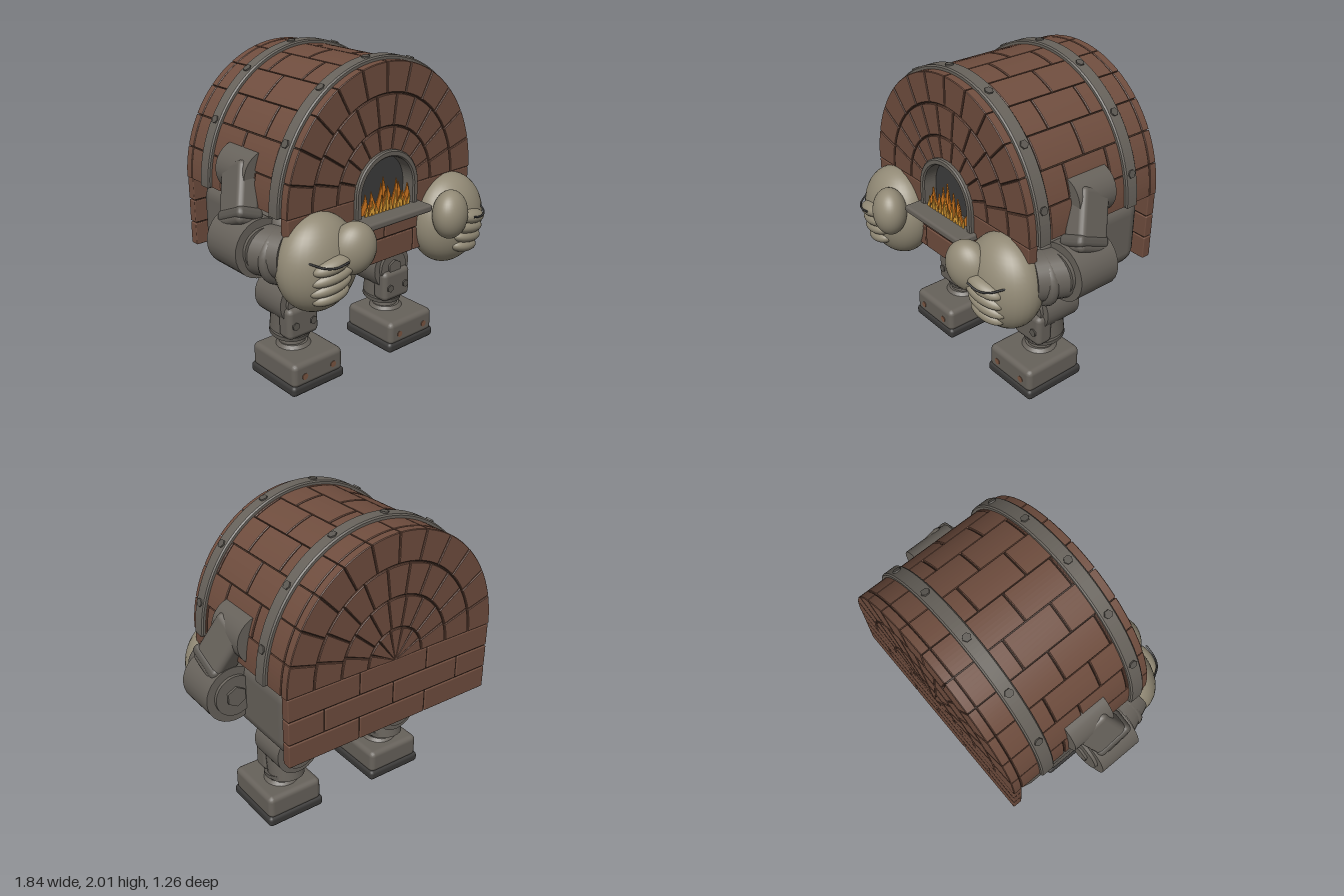
import * as THREE from 'three';
import { RoundedBoxGeometry } from 'three/addons/geometries/RoundedBoxGeometry.js';
import { mergeGeometries } from 'three/addons/utils/BufferGeometryUtils.js';

const mat = (name, color) => Object.assign(new THREE.MeshStandardMaterial({ color }), { name });

export function createModel() {
  const brick = mat('brick', 0x6f4d3e), mortar = mat('mortar', 0x3d2c23), iron = mat('iron', 0x67625b);
  const darkIron = mat('dark iron', 0x5c5852), glove = mat('glove', 0x928a76), rubber = mat('rubber', 0x3a3938);
  const soot = mat('soot', 0x3c3c3c), flameOuter = mat('flame orange', 0xd67a20), flameInner = mat('flame yellow', 0xeaa83a);
  const copper = mat('copper', 0x7c5743);
  const model = new THREE.Group();

  const add = (parent, name, geo, material, pos = [0, 0, 0], rot = [0, 0, 0]) => {
    const m = new THREE.Mesh(geo, material);
    m.name = name;
    m.position.set(...pos);
    m.rotation.set(...rot);
    parent.add(m);
    return m;
  };
  const group = (parent, name) => {
    const g = new THREE.Group();
    g.name = name;
    parent.add(g);
    return g;
  };
  const extrude = (shape, z0, z1, bevel = 0, curveSegments = 4) => new THREE.ExtrudeGeometry(shape, {
    depth: z1 - z0 - 2 * bevel, bevelEnabled: bevel > 0, bevelSize: bevel, bevelThickness: bevel,
    bevelOffset: -bevel, bevelSegments: 1, curveSegments,
  }).translate(0, 0, z0 + bevel);
  const box = (w, h, d, r = 0.03) => new RoundedBoxGeometry(w, h, d, 2, r);
  const rod = (r, h, sides = 28, r2 = r) => new THREE.CylinderGeometry(r, r2, h, sides);
  const drum = (r, h, sides = 28) => rod(r, h, sides).rotateX(Math.PI / 2);

  // Arched masonry: wedge bricks between two radii, around the vault centre
  const arcShape = (r0, r1, a0, a1) => {
    const s = new THREE.Shape();
    s.absarc(0, 0, r1, a0, a1, false);
    if (r0 > 0.01) s.absarc(0, 0, r0, a1, a0, true);
    else s.lineTo(0, 0);
    return s;
  };
  const GAP = 0.0035;
  const wedge = (r0, r1, i, n, z0, z1) => {
    const step = Math.PI / n, pad = GAP / r1;
    return extrude(arcShape(r0 + (r0 ? GAP : 0), r1 - GAP, i * step + pad, (i + 1) * step - pad), z0, z1, 0.004, 4);
  };
  const ring = (r0, r1, n, z0, z1) => Array.from({ length: n }, (_, i) => wedge(r0, r1, i, n, z0, z1));

  const vault = group(model, 'vault');
  vault.position.y = 1.215;
  vault.scale.x = 0.947;
  const R = 0.765, Z0 = -0.575, Z1 = 0.365, COURSES = 12;
  const barrel = [];
  for (let i = 0; i < COURSES; i++) {
    const cuts = i % 2 ? [Z0, -0.26, 0.055, Z1] : [Z0, -0.42, -0.105, 0.21, Z1];
    for (let k = 0; k + 1 < cuts.length; k++)
      barrel.push(wedge(0.58, R, i, COURSES, cuts[k] + GAP, cuts[k + 1] - (cuts[k + 1] === Z1 ? 0 : GAP)));
  }
  add(vault, 'barrelBricks', mergeGeometries(barrel), brick);
  add(vault, 'frontArchBricks', mergeGeometries([...ring(0.39, 0.58, 11, 0.3, Z1), ...ring(0.225, 0.39, 9, 0.3, Z1)]), brick);
  add(vault, 'backFanBricks', mergeGeometries([
    ...ring(0, 0.2, 7, -0.63, Z0), ...ring(0.2, 0.39, 9, -0.63, Z0),
    ...ring(0.39, 0.58, 11, -0.63, Z0), ...ring(0.58, R, COURSES, -0.63, Z0)]), brick);
  add(vault, 'vaultMortar', extrude(arcShape(0.24, R - 0.014, 0.03, Math.PI - 0.03), -0.58, 0.352, 0, 40), mortar);
  add(vault, 'backMortar', extrude(arcShape(0, R - 0.014, 0.01, Math.PI - 0.01), -0.618, -0.57, 0, 40), mortar);

  // Iron straps with hexagonal bolts
  for (const z of [0.268, -0.4]) {
    const strap = group(vault, 'strap');
    add(strap, 'strapBand', extrude(arcShape(0.74, 0.785, 0, Math.PI), z - 0.045, z + 0.045, 0.008, 48), iron);
    for (let k = 0; k < 6; k++) {
      const a = THREE.MathUtils.degToRad(15 + 27 * k);
      add(strap, 'strapBolt', rod(0.026, 0.022, 6), darkIron,
        [Math.cos(a) * 0.783, Math.sin(a) * 0.783, z], [0, 0, a - Math.PI / 2]);
    }
  }

  // Straight brick walls under the vault
  const wall = (name, z0, z1, open) => {
    const parts = [];
    for (let row = 0; row < 3; row++) {
      const cuts = row % 2 ? [-0.72, -0.48, 0, 0.48, 0.72] : [-0.72, -0.24, 0.24, 0.72];
      for (let k = 0; k + 1 < cuts.length; k++) {
        if (open && row === 2 && k === 1) continue;
        parts.push(box(cuts[k + 1] - cuts[k] - 0.007, 0.14, z1 - z0, 0.006)
          .translate((cuts[k] + cuts[k + 1]) / 2, 0.852 + row * 0.147, (z0 + z1) / 2));
      }
    }
    add(model, name, mergeGeometries(parts), brick);
  };
  wall('frontWallBricks', 0.3, 0.365, true);
  wall('backWallBricks', -0.63, -0.57, false);
  add(model, 'frontWallMortar', new THREE.BoxGeometry(1.41, 0.28, 0.05), mortar, [0, 0.93, 0.329]);
  add(model, 'backWallMortar', new THREE.BoxGeometry(1.41, 0.42, 0.04), mortar, [0, 0.998, -0.6]);
  add(model, 'body', box(1.36, 0.475, 0.85, 0.11), iron, [0, 0.976, -0.15]);

  // Oven mouth: sooty back, arched frame and shelf
  const arch = (s, r, base, ccw) => {
    s.lineTo(ccw ? r : -r, base);
    s.absarc(0, 1.225, r, ccw ? 0 : Math.PI, ccw ? Math.PI : 0, !ccw);
    s.lineTo(ccw ? -r : r, base);
  };
  const mouth = new THREE.Shape().moveTo(0, 1.07);
  arch(mouth, 0.25, 1.07, true);
  add(model, 'mouthBack', extrude(mouth, 0.288, 0.297, 0, 20), soot);
  const frame = new THREE.Shape().moveTo(0.245, 1.09);
  arch(frame, 0.245, 1.09, true);
  arch(frame, 0.205, 1.09, false);
  add(model, 'mouthFrame', extrude(frame, 0.29, 0.39, 0.008, 20), iron);
  add(model, 'mouthShelf', box(0.54, 0.045, 0.21, 0.015), iron, [0, 1.083, 0.385]);

  // Flame tongues
  const tongue = (w, h, lean) => {
    const s = new THREE.Shape();
    s.moveTo(-w * 0.5, 0);
    s.bezierCurveTo(-w, h * 0.35, lean - w * 0.1, h * 0.5, lean, h);
    s.bezierCurveTo(lean + w * 0.4, h * 0.6, w * 0.9, h * 0.3, w * 0.5, 0);
    return s;
  };
  const fire = group(model, 'fire');
  const heights = [0.13, 0.09, 0.15, 0.11, 0.18, 0.13, 0.21, 0.15, 0.19, 0.12, 0.16, 0.1, 0.13];
  heights.forEach((h, i) => {
    const x = (i - 6) * 0.028, lean = (i % 4 < 2 ? 0.016 : -0.014), z = 0.35 + (i % 3) * 0.01;
    add(fire, 'flameTongue', extrude(tongue(0.042, h, lean), 0, 0.008, 0, 6), flameOuter, [x, 1.1, z]);
    add(fire, 'flameCore', extrude(tongue(0.016, h * 0.62, lean * 0.6), 0, 0.005, 0, 6), flameInner, [x, 1.1, 0.379]);
  });

  // Round joint with raised rims and a bolt on both faces, axis along z
  const joint = (parent, name, r, depth, pos) => {
    const g = group(parent, name);
    g.position.set(...pos);
    add(g, 'jointDrum', drum(r, depth), iron);
    for (const s of [-1, 1]) {
      add(g, 'jointCap', drum(r * 0.72, 0.03), iron, [0, 0, s * (depth / 2 + 0.005)]);
      add(g, 'jointBolt', drum(r * 0.36, 0.03, 6), iron, [0, 0, s * (depth / 2 + 0.02)]);
    }
  };
  const ball = (parent, name, pos, radii, rot) =>
    add(parent, name, new THREE.SphereGeometry(1, 32, 24).scale(...radii), glove, pos, rot);

  for (const side of [1, -1]) {
    const half = group(model, side > 0 ? 'leftLimbs' : 'rightLimbs');
    half.scale.x = side;

    // Arm
    const arm = group(half, 'arm');
    add(arm, 'shoulder', drum(0.15, 0.28), iron, [0.62, 1.37, -0.09]);
    add(arm, 'upperArm', box(0.14, 0.36, 0.23, 0.035), iron, [0.748, 1.27, -0.03], [-0.4, 0, 0.36]);
    add(arm, 'upperArmCuff', box(0.165, 0.07, 0.25, 0.03), darkIron, [0.785, 1.17, 0.02], [-0.4, 0, 0.36]);
    joint(arm, 'elbow', 0.175, 0.28, [0.747, 1.005, 0.02]);
    add(arm, 'forearm', drum(0.15, 0.2), iron, [0.69, 0.985, 0.2], [0, -0.4, 0]);
    add(arm, 'wristRing', new THREE.TorusGeometry(0.13, 0.04, 12, 32), iron, [0.67, 0.967, 0.232], [0, -0.2, 0]);

    // Fist
    const hand = group(half, 'hand');
    ball(hand, 'palm', [0.525, 0.93, 0.37], [0.262, 0.29, 0.19], [0, 0, 0]);
    ball(hand, 'thumb', [0.392, 1.022, 0.52], [0.135, 0.155, 0.105], [0, 0.4, 0.25]);
    [[0.56, 0.975, 0.12], [0.545, 0.91, 0.14], [0.55, 0.845, 0.135], [0.54, 0.782, 0.12]].forEach(([x, y, r], i) =>
      ball(hand, 'finger', [x, y, 0.535 - i * 0.012], [r, 0.048, 0.068], [0, 0.15, -0.2]));
    const crease = [[0.5, 1.0, 0.612], [0.58, 0.987, 0.605], [0.64, 0.992, 0.575], [0.69, 1.01, 0.5]];
    add(hand, 'fingerCrease', new THREE.TubeGeometry(
      new THREE.CatmullRomCurve3(crease.map((p) => new THREE.Vector3(...p))), 16, 0.006, 6), soot);

    // Leg
    const leg = group(half, 'leg');
    add(leg, 'hip', rod(0.148, 0.14), iron, [0.37, 0.7, -0.1]);
    add(leg, 'hipRing', rod(0.162, 0.025), darkIron, [0.37, 0.668, -0.1]);
    joint(leg, 'knee', 0.153, 0.26, [0.385, 0.515, -0.095]);
    add(leg, 'shin', rod(0.115, 0.2), iron, [0.395, 0.37, -0.075], [0.15, 0, 0]);
    add(leg, 'shinPlate', box(0.235, 0.21, 0.12, 0.035), iron, [0.395, 0.395, 0.025]);
    add(leg, 'shinRing', rod(0.128, 0.025), darkIron, [0.395, 0.29, -0.065], [0.15, 0, 0]);
    for (const dx of [-0.068, 0.068])
      add(leg, 'shinBolt', drum(0.026, 0.02, 6), darkIron, [0.395 + dx, 0.385, 0.083]);
    add(leg, 'ankle', rod(0.075, 0.09, 24, 0.09), iron, [0.397, 0.24, -0.04]);

    // Foot
    const foot = group(half, 'foot');
    add(foot, 'boot', box(0.385, 0.16, 0.425, 0.035), iron, [0.397, 0.13, 0.01]);
    add(foot, 'bootTop', rod(0.09, 0.03, 24, 0.12), iron, [0.397, 0.215, -0.03]);
    add(foot, 'sole', box(0.405, 0.07, 0.44, 0.025), rubber, [0.397, 0.035, 0.007]);
    for (const dx of [-0.11, 0.11])
      add(foot, 'bootRivet', drum(0.021, 0.01, 12), copper, [0.397 + dx, 0.12, 0.222]);
  }
  return model;
}
